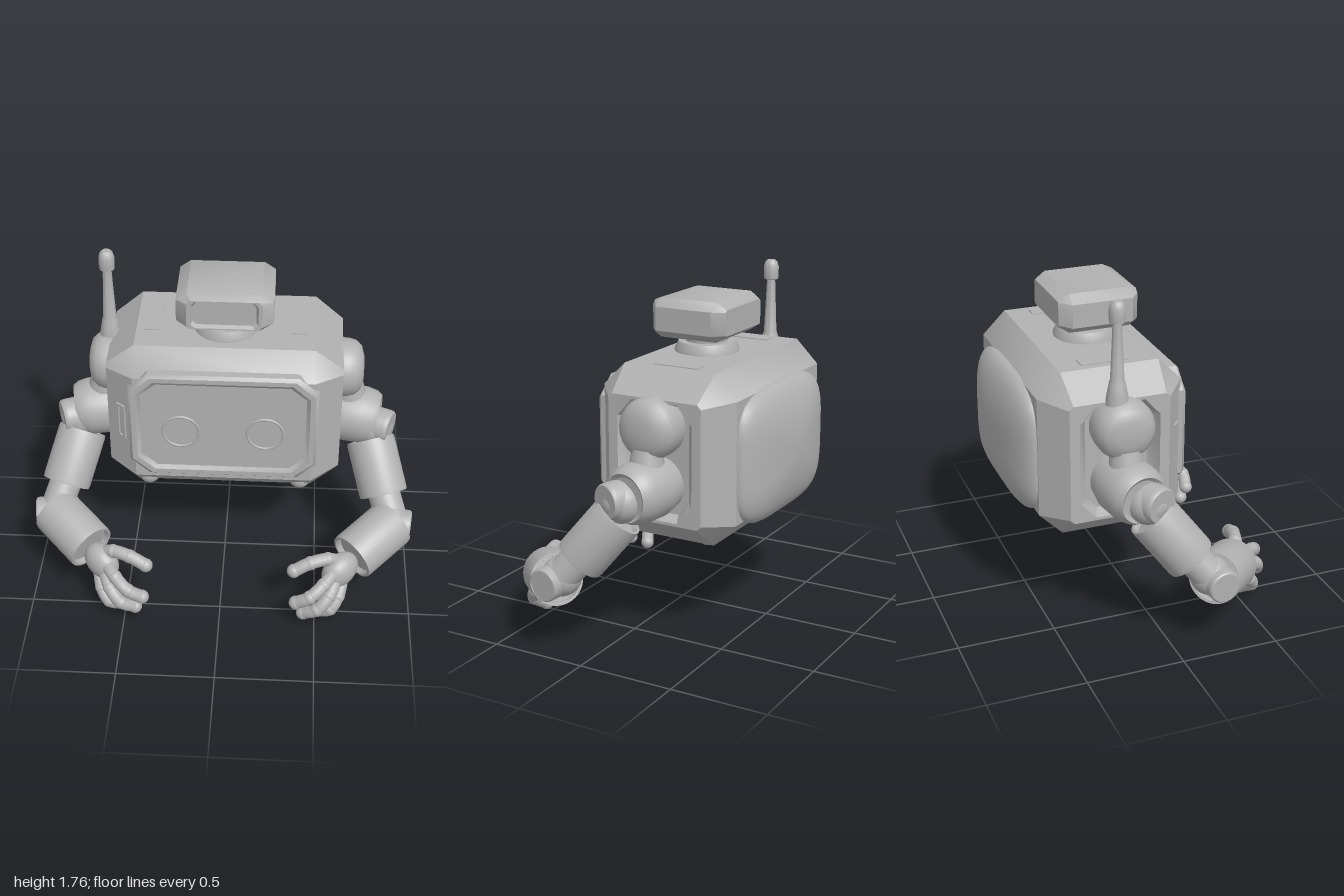
import * as THREE from 'three';
import { toCreasedNormals } from 'three/addons/utils/BufferGeometryUtils.js';

const shell = new THREE.MeshStandardMaterial({ color: 0xb2b2b2 });
shell.name = 'grey shell';
const V = (x, y, z) => new THREE.Vector3(x, y, z);

function add(parent, name, geo, pos) {
  const m = new THREE.Mesh(geo, shell);
  m.name = name;
  if (pos) m.position.copy(pos);
  parent.add(m);
  return m;
}

// Octagon with half sizes hu, hv and corner cuts cu, cv
const oct = (hu, hv, cu, cv) => [
  [hu, hv - cv], [hu - cu, hv], [cu - hu, hv], [-hu, hv - cv],
  [-hu, cv - hv], [cu - hu, -hv], [hu - cu, -hv], [hu, cv - hv]];
// Superellipse outline
const soft = (hu, hv) => Array.from({ length: 48 }, (_, i) => {
  const a = i / 48 * Math.PI * 2, f = (t) => Math.sign(t) * Math.abs(t) ** 0.5;
  return [hu * f(Math.cos(a)), hv * f(Math.sin(a))];
});

// Skin between rings, with closed ends and outward winding
function loft(rings, crease = 0.6) {
  const pos = [], n = rings[0].length;
  const tri = (a, b, c) => pos.push(...a.toArray(), ...b.toArray(), ...c.toArray());
  const mid = (r) => r.reduce((s, p) => s.add(p), V(0, 0, 0)).divideScalar(n);
  const first = rings[0], last = rings[rings.length - 1], c0 = mid(first), c1 = mid(last);
  for (let j = 0; j < n; j++) {
    const k = (j + 1) % n;
    for (let i = 0; i + 1 < rings.length; i++) {
      const p = rings[i], q = rings[i + 1];
      tri(p[j], p[k], q[k]);
      tri(p[j], q[k], q[j]);
    }
    tri(c0, first[k], first[j]);
    tri(c1, last[j], last[k]);
  }
  const geo = new THREE.BufferGeometry();
  geo.setAttribute('position', new THREE.Float32BufferAttribute(pos, 3));
  return toCreasedNormals(geo, crease);
}
const ringX = (x, pts, cy, cz) => pts.map(([u, v]) => V(x, cy + u, cz + v));
const ringZ = (z, pts, cy) => pts.map(([u, v]) => V(u, cy + v, z));

// Turned part running from a to b; profile is [radius, distance along axis 0..1]
function turned(parent, name, a, b, profile) {
  const len = a.distanceTo(b);
  const geo = new THREE.LatheGeometry(profile.map(([r, t]) => new THREE.Vector2(r, t * len)), 36);
  const m = add(parent, name, toCreasedNormals(geo, 0.6), a);
  m.quaternion.setFromUnitVectors(V(0, 1, 0), b.clone().sub(a).normalize());
  return m;
}
// Cylinder with small rounded edges
const sleeve = (r, e = 0.08) => [[0, 0], [r * 0.9, 0], [r * 0.98, e * 0.4], [r, e],
  [r, 1 - e], [r * 0.98, 1 - e * 0.4], [r * 0.9, 1], [0, 1]];
// Hollow-ended sleeve
const cuff = (r) => [[0, 0.1], [r * 0.84, 0.1], [r * 0.88, 0], [r * 0.98, 0], [r, 0.05],
  [r, 0.95], [r * 0.98, 1], [r * 0.88, 1], [r * 0.84, 0.9], [0, 0.9]];
const ball = (r) => new THREE.SphereGeometry(r, 28, 18);

function buildBody(g) {
  // Chamfered shell with a shallow arm bay on each side
  const cy = 0.95, cz = -0.18;
  const full = oct(0.43, 0.37, 0.12, 0.12), side = oct(0.31, 0.255, 0.02, 0.02);
  const bay = oct(0.295, 0.205, 0.09, 0.08), floor = oct(0.27, 0.16, 0.07, 0.06);
  add(g, 'bodyShell', loft([
    ringX(-0.54, floor, cy, cz), ringX(-0.6, bay, cy, cz), ringX(-0.6, side, cy, cz),
    ringX(-0.455, full, cy, cz), ringX(0.455, full, cy, cz),
    ringX(0.6, side, cy, cz), ringX(0.6, bay, cy, cz), ringX(0.54, floor, cy, cz)].reverse()
    .map((r) => r.slice().reverse())));

  // Raised front frame around a sunken panel
  add(g, 'frontPanel', loft([
    ringZ(0.15, oct(0.48, 0.315, 0.1, 0.09), 0.98), ringZ(0.196, oct(0.48, 0.315, 0.1, 0.09), 0.98),
    ringZ(0.213, oct(0.465, 0.3, 0.1, 0.09), 0.98), ringZ(0.213, oct(0.44, 0.275, 0.09, 0.08), 0.98),
    ringZ(0.198, oct(0.42, 0.255, 0.08, 0.07), 0.98)]));
  for (const s of [-1, 1]) {
    add(g, 'eyeRing', new THREE.TorusGeometry(0.092, 0.007, 8, 40), V(s * 0.215, 0.945, 0.199));
    add(g, 'eyeLens', new THREE.CircleGeometry(0.084, 40), V(s * 0.215, 0.945, 0.202));
  }

  // Slot frame on the right front chamfer
  const slot = new THREE.Shape([[-0.028, -0.105], [0.028, -0.105], [0.028, 0.105], [-0.028, 0.105]]
    .map((p) => new THREE.Vector2(...p)));
  slot.holes.push(new THREE.Path([[-0.014, -0.088], [-0.014, 0.088], [0.014, 0.088], [0.014, -0.088]]
    .map((p) => new THREE.Vector2(...p))));
  const slotGeo = new THREE.ExtrudeGeometry(slot, { depth: 0.012, bevelEnabled: false });
  add(g, 'slotFrame', slotGeo, V(-0.522, 0.955, 0.134)).rotation.y = -0.67;

  // Domed back cover
  const dome = [ringZ(-0.5, soft(0.45, 0.34), 0.93)];
  for (let i = 0; i <= 12; i++) {
    const a = i / 12 * Math.PI / 2, s = Math.max(Math.cos(a), 0.01);
    dome.push(ringZ(-0.545 - 0.125 * Math.sin(a), soft(0.45 * s, 0.34 * s), 0.93));
  }
  add(g, 'backCover', loft(dome.map((r) => r.slice().reverse()), 0.7));

  // Top hatches, belly plate and feet
  for (const s of [-1, 1]) {
    add(g, 'topHatch', new THREE.BoxGeometry(0.08, 0.009, 0.24), V(s * 0.375, 1.38, -0.19));
    for (const z of [0.06, -0.37]) {
      add(g, 'foot', ball(0.058), V(s * 0.4, 0.555, z));
    }
  }
  add(g, 'bellyPlate', new THREE.BoxGeometry(0.62, 0.016, 0.36), V(0, 0.518, -0.17));
}

function buildHead(g) {
  turned(g, 'neckCollar', V(0, 1.37, -0.14), V(0, 1.43, -0.14),
    [[0, 0], [0.165, 0], [0.165, 0.35], [0.145, 1], [0, 1]]);
  turned(g, 'neck', V(0, 1.42, -0.14), V(0, 1.48, -0.14), [[0, 0], [0.105, 0], [0.105, 1], [0, 1]]);
  const y = 1.565, full = oct(0.243, 0.1, 0.055, 0.04), face = oct(0.188, 0.082, 0.02, 0.02);
  add(g, 'head', loft([
    ringZ(-0.345, oct(0.188, 0.065, 0.01, 0.01), y), ringZ(-0.29, full, y), ringZ(0.02, full, y),
    ringZ(0.065, face, y), ringZ(0.065, oct(0.168, 0.075, 0.02, 0.02), y),
    ringZ(0.045, oct(0.157, 0.064, 0.02, 0.02), y)]));
}

function buildArm(g, s) {
  const P = (x, y, z) => V(s * x, y, z);
  // Shoulder and upper joint
  turned(g, 'shoulder', P(0.5, 1.12, -0.17), P(0.716, 1.12, -0.17),
    [[0, 0], [0.145, 0], [0.153, 0.35], [0.153, 0.6], [0.142, 0.78], [0.115, 0.92], [0.07, 0.98], [0, 1]]);
  turned(g, 'shoulderLink', P(0.64, 1.02, -0.17), P(0.66, 0.88, -0.17), [[0, 0], [0.075, 0], [0.095, 1], [0, 1]]);
  turned(g, 'upperArm', P(0.53, 0.83, -0.19), P(0.81, 0.82, -0.14),
    [[0, 0], [0.13, 0], [0.152, 0.3], [0.152, 0.72], [0.14, 0.9], [0.12, 1], [0.1, 0.95], [0, 0.95]]);
  add(g, 'elbowBall', ball(0.105), P(0.78, 0.79, -0.11));
  turned(g, 'elbowDisc', P(0.72, 0.81, -0.13), P(0.87, 0.805, -0.07), sleeve(0.092, 0.15));
  // Forearm, second joint and cuff
  turned(g, 'forearm', P(0.77, 0.715, -0.085), P(0.85, 0.485, 0.09), cuff(0.128));
  turned(g, 'forearmLink', P(0.84, 0.52, 0.07), P(0.89, 0.4, 0.17), [[0, 0], [0.085, 0], [0.085, 1], [0, 1]]);
  add(g, 'lowerJoint', ball(0.1), P(0.88, 0.39, 0.18));
  turned(g, 'lowerJointDisc', P(0.86, 0.375, 0.2), P(0.995, 0.37, 0.215), sleeve(0.085, 0.12));
  turned(g, 'wristCuff', P(0.9, 0.375, 0.195), P(0.685, 0.3, 0.395), cuff(0.132));
  // Palm
  const palm = add(g, 'palm', ball(1), P(0.625, 0.265, 0.455));
  palm.scale.set(0.075, 0.095, 0.11);
  palm.quaternion.setFromUnitVectors(V(0, 0, 1), P(-0.66, -0.25, 0.6).normalize());
  // Thumb and fingers: base, joints and tip
  const digits = {
    thumb: [[0.62, 0.31, 0.44], [0.56, 0.35, 0.47], [0.47, 0.345, 0.5], [0.385, 0.305, 0.52]],
    foreFinger: [[0.6, 0.29, 0.49], [0.54, 0.265, 0.575], [0.47, 0.22, 0.625], [0.4, 0.17, 0.615]],
    middleFinger: [[0.61, 0.25, 0.49], [0.57, 0.2, 0.585], [0.51, 0.135, 0.625], [0.44, 0.085, 0.6]],
    littleFinger: [[0.64, 0.21, 0.46], [0.62, 0.145, 0.53], [0.58, 0.085, 0.565], [0.515, 0.04, 0.535]],
  };
  for (const [name, pts] of Object.entries(digits)) {
    const path = new THREE.CatmullRomCurve3(pts.map((p) => P(...p)));
    add(g, name, new THREE.TubeGeometry(path, 20, 0.034, 14));
    for (const p of pts) add(g, name + 'Joint', new THREE.SphereGeometry(0.037, 16, 12), P(...p));
  }
}

export function createModel() {
  const model = new THREE.Group();
  model.name = 'robot';
  const part = (name) => {
    const g = new THREE.Group();
    g.name = name;
    model.add(g);
    return g;
  };
  buildBody(part('body'));
  buildHead(part('headAssembly'));
  buildArm(part('leftArm'), 1);
  buildArm(part('rightArm'), -1);
  // Antenna on the right shoulder
  turned(part('antennaGroup'), 'antenna', V(-0.605, 1.22, -0.2), V(-0.605, 1.76, -0.2),
    [[0, 0], [0.06, 0], [0.052, 0.13], [0.04, 0.25], [0.034, 0.28], [0.022, 0.8], [0.038, 0.81],
      [0.04, 0.85], [0.04, 0.93], [0.032, 0.98], [0.02, 1], [0, 1]]);
  return model;
}
